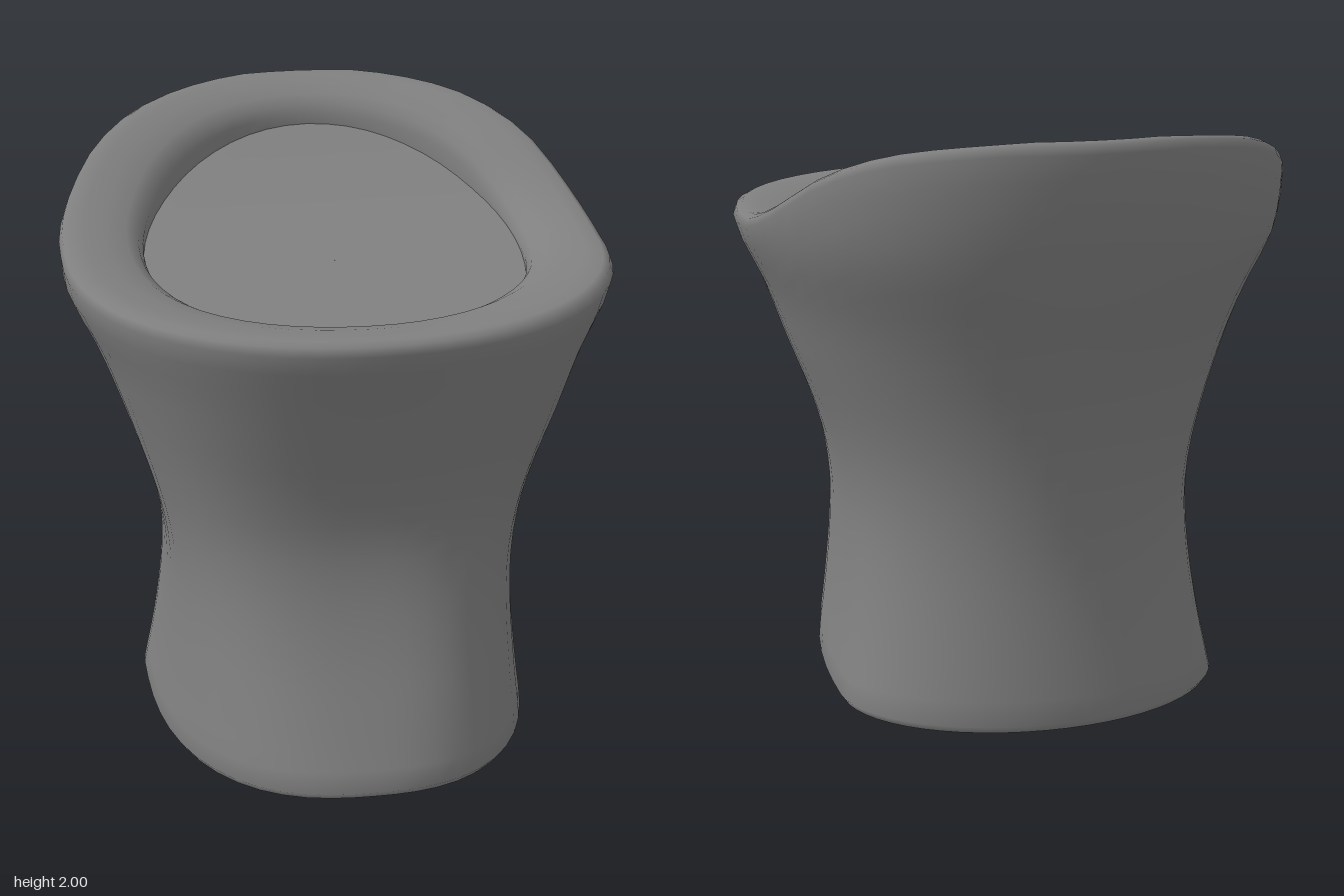
import * as THREE from 'three';

const SEG = 56;

// Smooth interpolation through [key, value] pairs with ascending keys.
function curve(pairs) {
  return (k) => {
    const n = pairs.length - 1;
    if (k <= pairs[0][0]) return pairs[0][1];
    if (k >= pairs[n][0]) return pairs[n][1];
    let i = 0;
    while (k > pairs[i + 1][0]) i++;
    const slope = (j) => {
      const a = pairs[Math.max(j - 1, 0)], b = pairs[Math.min(j + 1, n)];
      return (b[1] - a[1]) / (b[0] - a[0]);
    };
    const [x0, y0] = pairs[i], [x1, y1] = pairs[i + 1];
    const h = x1 - x0, t = (k - x0) / h, t2 = t * t, t3 = t2 * t;
    return y0 * (2 * t3 - 3 * t2 + 1) + y1 * (3 * t2 - 2 * t3)
      + h * (slope(i) * (t3 - 2 * t2 + t) + slope(i + 1) * (t3 - t2));
  };
}

// Silhouettes of the waisted body by height.
const halfWidth = curve([[0, 0.665], [0.25, 0.62], [0.5, 0.592], [0.7, 0.592], [0.9, 0.63], [1.2, 0.735], [1.4, 0.81], [1.62, 0.907], [2, 0.915]]);
const frontZ = curve([[0.1, 0.945], [0.3, 0.86], [0.5, 0.78], [0.7, 0.725], [0.88, 0.71], [1.06, 0.74], [1.25, 0.8], [1.4, 0.855], [1.61, 0.94]]);
const backZ = curve([[0, -0.65], [0.5, -0.605], [0.8, -0.62], [1.06, -0.67], [1.25, -0.73], [1.54, -0.84], [1.77, -0.91], [1.97, -0.945]]);
const widestZ = curve([[0, -0.18], [0.7, -0.05], [1.2, 0.02], [1.6, 0.05]]);
const middleX = curve([[0, -0.008], [0.9, -0.008], [1.2, 0]]);

// Squareness of the front and back halves of the section (2 is an ellipse).
const frontPower = curve([[0, 2.4], [0.7, 3.1], [1.2, 2.6], [1.6, 2.15]]);
const backPower = curve([[0, 2], [1.2, 2], [1.6, 2.1]]);

// Height of the rim crest: level in front, swept up at the back.
const crest = curve([[-0.9, 2], [-0.7, 1.95], [-0.5, 1.87], [-0.3, 1.77], [-0.1, 1.705], [0.1, 1.68], [0.5, 1.66], [0.94, 1.65]]);
const rimY = (x, z) => crest(z) - 0.03 * x * Math.exp(-((z + 0.1) ** 2) / 0.15);

// Height of the dished seat and of the underside.
const seatY = curve([[-0.78, 1.865], [-0.6, 1.77], [-0.4, 1.68], [-0.1, 1.59], [0.2, 1.53], [0.7, 1.49]]);
const soleY = (z) => 0.003 + 0.075 * Math.pow(Math.max(0, z) / 0.94, 1.5);

// Unit rounded outline of the given squareness at one angle.
function outline(angle, p) {
  const c = Math.cos(angle), s = Math.sin(angle);
  const r = Math.pow(Math.abs(c) ** p + Math.abs(s) ** p, -1 / p);
  return [c * r, s * r];
}

// Section of the body at one angle and height.
function section(angle, y) {
  const front = Math.sin(angle) > 0, mid = widestZ(y);
  const [u, v] = outline(angle, front ? frontPower(y) : backPower(y));
  return [middleX(y) + halfWidth(y) * u, mid + (front ? frontZ(y) - mid : mid - backZ(y)) * v];
}

// Outer edges of the body under the rim and above the sole.
function topEdge(a) {
  const [x, z] = section(a, 1.62 + 0.35 * Math.max(0, -Math.sin(a)));
  return [x, rimY(x, z) - 0.04, z];
}
function bottomEdge(a) {
  const [x, z] = section(a, 0.03 + 0.06 * Math.max(0, Math.sin(a)));
  return [x, soleY(z) + 0.025, z];
}

// Ring of the underside at a fraction of the bottom edge.
function sole(a, k) {
  const [x, , z] = bottomEdge(a);
  return [x * k, soleY(z * k), z * k];
}

// Inner opening of the rim, a little fuller at its right front.
function inner(a, scale) {
  const [u, v] = outline(a, Math.sin(a) > 0 && Math.cos(a) < 0 ? 2.25 : 2);
  return [0.01 + 0.64 * scale * u, -0.05 + 0.705 * scale * v];
}

// Skin closed rings; ring(angle, row) returns [x, y, z].
function loft(name, rows, ring, material) {
  const pos = [], index = [];
  for (let r = 0; r < rows; r++) {
    for (let i = 0; i < SEG; i++) pos.push(...ring((i / SEG) * Math.PI * 2, r));
  }
  for (let r = 0; r < rows - 1; r++) {
    for (let i = 0; i < SEG; i++) {
      const j = (i + 1) % SEG, a = r * SEG + i, b = r * SEG + j;
      index.push(a, a + SEG, b, b, a + SEG, b + SEG);
    }
  }
  const g = new THREE.BufferGeometry();
  g.setAttribute('position', new THREE.Float32BufferAttribute(pos, 3));
  g.setIndex(index);
  g.computeVertexNormals();
  const mesh = new THREE.Mesh(g, material);
  mesh.name = name;
  return mesh;
}

export function createModel() {
  const group = new THREE.Group();
  group.name = 'stool';
  const material = new THREE.MeshStandardMaterial({ color: 0x808080, side: THREE.DoubleSide });

  // Waisted wall running smoothly over the rolled rim and down to the seat.
  // Rim rows: [blend toward the opening, depth below the crest]
  const WALL = 24;
  const roll = [[0.04, 0.012], [0.12, 0], [0.3, 0.002], [0.55, 0.012], [0.8, 0.03], [0.94, 0.055], [1, 0.09]];
  const ROWS = WALL + 2 + roll.length;
  group.add(loft('body', ROWS, (a, r) => {
    if (r === 0) return sole(a, 0.975);
    const low = bottomEdge(a), high = topEdge(a), [ix, iz] = inner(a, 1);
    if (r === 1) return low;
    if (r === WALL) return high;
    if (r === ROWS - 1) return [ix, seatY(iz) - 0.005, iz];
    if (r < WALL) {
      const y = THREE.MathUtils.lerp(low[1], high[1], (r - 1) / (WALL - 1));
      const [x, z] = section(a, y);
      return [x, y, z];
    }
    const [k, drop] = roll[r - WALL - 1];
    const x = THREE.MathUtils.lerp(high[0], ix, k), z = THREE.MathUtils.lerp(high[2], iz, k);
    return [x, rimY(x, z) - drop, z];
  }, material));

  // Underside, lifting slightly toward the front
  group.add(loft('base', 6, (a, r) => sole(a, Math.max(0.975 * r / 5, 0.001)), material));

  // Sunken dished seat
  group.add(loft('seat', 12, (a, r) => {
    const [x, z] = inner(a, Math.max(1 - r / 11, 0.001));
    return [x, seatY(z) - 0.005, z];
  }, material));

  return group;
}
